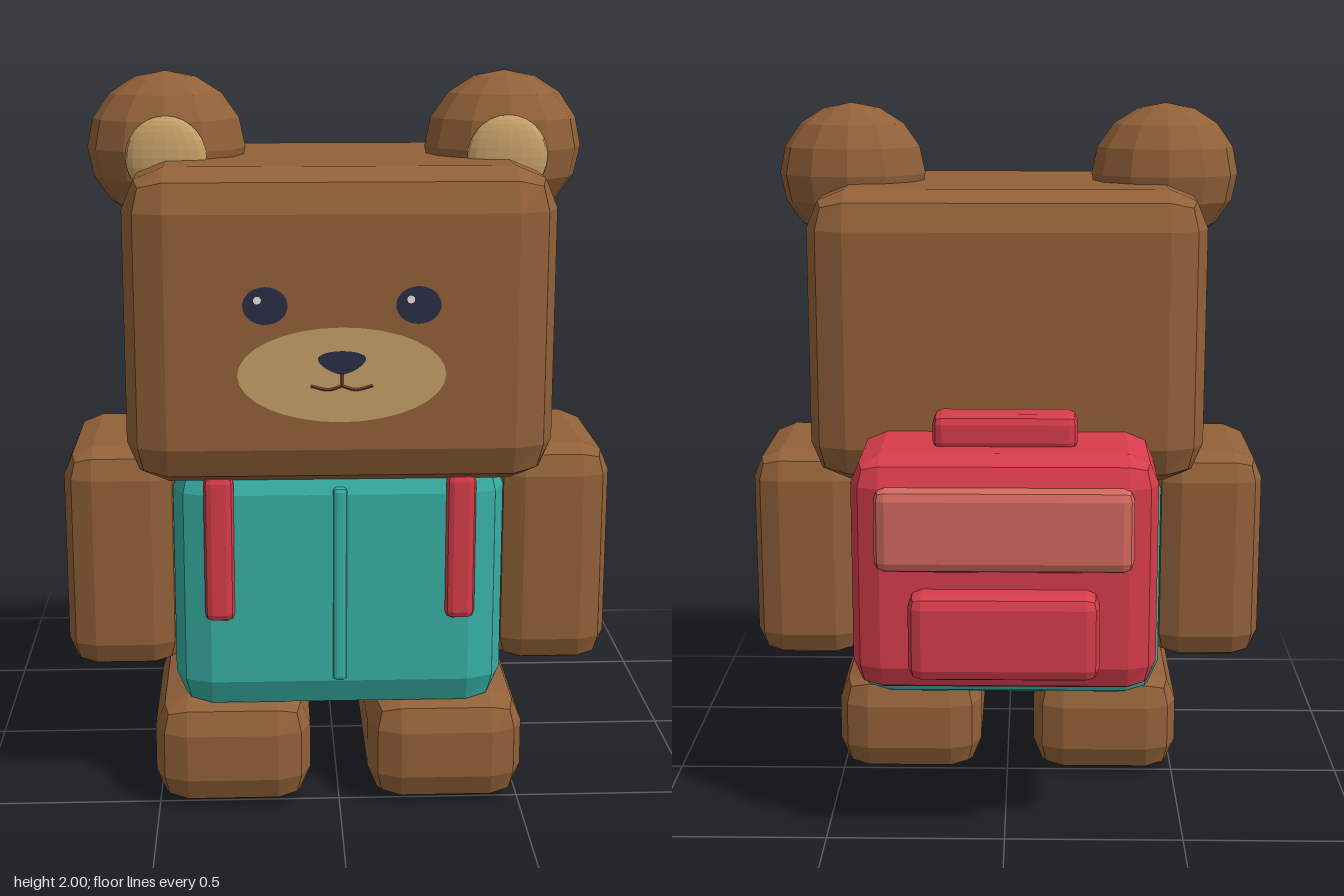
import * as THREE from 'three';
import { RoundedBoxGeometry } from 'three/addons/geometries/RoundedBoxGeometry.js';

const mat = (name, color, flatShading = true) => {
  const m = new THREE.MeshStandardMaterial({ color, flatShading });
  m.name = name;
  return m;
};

export function createModel() {
  const fur = mat('brown fur', 0x926139);
  const tan = mat('tan', 0xc6a068);
  const teal = mat('teal shirt', 0x37b0a5);
  const red = mat('red pack', 0xd63c4a);
  const salmon = mat('salmon flap', 0xd2695f);
  const dark = mat('dark eye', 0x2b2d45);
  const white = mat('eye glint', 0xf0f0f0);
  const line = mat('mouth brown', 0x7d4a2c);

  const model = new THREE.Group();
  model.name = 'bear';

  const add = (name, geometry, material) => {
    const mesh = new THREE.Mesh(geometry, material);
    mesh.name = name;
    model.add(mesh);
    return mesh;
  };

  // Box with a two-step bevel, given by its limits on each axis
  const block = (name, [x0, x1], [y0, y1], [z0, z1], radius, material) => {
    const g = new RoundedBoxGeometry(x1 - x0, y1 - y0, z1 - z0, 1, radius);
    g.translate((x0 + x1) / 2, (y0 + y1) / 2, (z0 + z1) / 2);
    return add(name, g, material);
  };

  // Flat oval painted on the front of the head
  const FACE = 0.64;
  const oval = (name, x, y, rx, ry, lift, material) => {
    const mesh = add(name, new THREE.CircleGeometry(1, 32), material);
    mesh.scale.set(rx, ry, 1);
    mesh.position.set(x, y, FACE + lift);
  };

  // Head and torso
  block('head', [-0.565, 0.565], [0.94, 1.775], [-0.208, FACE], 0.11, fur);
  block('torso', [-0.45, 0.45], [0.27, 1.0], [-0.148, 0.545], 0.1, teal);
  block('zipper', [-0.02, 0.02], [0.37, 0.92], [0.52, 0.553], 0.012, teal);

  // Paired parts
  for (const s of [-1, 1]) {
    const side = s > 0 ? 'left' : 'right';
    const span = (a, b) => (s > 0 ? [a, b] : [-b, -a]);
    block(side + 'Arm', span(0.43, 0.75), [0.37, 1.0], [-0.067, 0.463], 0.08, fur);
    block(side + 'Leg', span(0.08, 0.51), [0, 0.31], [-0.063, 0.57], 0.09, fur);
    block(side + 'Strap', span(0.285, 0.365), [0.55, 0.957], [0.52, 0.567], 0.02, red);

    const ear = add(side + 'Ear', new THREE.SphereGeometry(1, 12, 8), fur);
    ear.scale.set(0.215, 0.205, 0.17);
    ear.position.set(s * 0.46, 1.795, 0.205);

    const inner = add(side + 'InnerEar', new THREE.SphereGeometry(1, 20, 14), tan);
    inner.scale.set(0.108, 0.11, 0.034);
    inner.position.set(s * 0.455, 1.78, 0.353);

    oval(side + 'Eye', s * 0.197, 1.432, 0.058, 0.049, 0.003, dark);
    oval(side + 'EyeGlint', s * 0.197 - 0.02, 1.447, 0.01, 0.01, 0.006, white);
  }

  // Muzzle and nose
  oval('muzzle', 0, 1.25, 0.27, 0.125, 0.003, tan);
  const nose = new THREE.Shape();
  nose.moveTo(0, 1.252);
  nose.bezierCurveTo(0.03, 1.255, 0.064, 1.28, 0.062, 1.295);
  nose.bezierCurveTo(0.055, 1.32, -0.055, 1.32, -0.062, 1.295);
  nose.bezierCurveTo(-0.064, 1.28, -0.03, 1.255, 0, 1.252);
  add('nose', new THREE.ShapeGeometry(nose), dark).position.z = FACE + 0.006;

  // Mouth
  const stroke = (name, points) => {
    const curve = new THREE.CatmullRomCurve3(points.map(([x, y]) => new THREE.Vector3(x, y, FACE + 0.004)));
    add(name, new THREE.TubeGeometry(curve, 12, 0.004, 5), line);
  };
  stroke('mouthStem', [[0, 1.255], [0, 1.222]]);
  for (const s of [-1, 1]) {
    stroke(s > 0 ? 'leftMouth' : 'rightMouth', [[0, 1.222], [s * 0.035, 1.212], [s * 0.08, 1.222]]);
  }

  // Backpack
  block('backpack', [-0.415, 0.415], [0.445, 1.105], [-0.56, -0.09], 0.08, red);
  block('packHandle', [-0.198, 0.198], [1.09, 1.19], [-0.402, -0.277], 0.025, red);
  block('packFlap', [-0.347, 0.347], [0.8, 1.03], [-0.598, -0.52], 0.03, salmon);
  block('packPocket', [-0.256, 0.256], [0.51, 0.75], [-0.64, -0.52], 0.035, red);

  return model;
}
